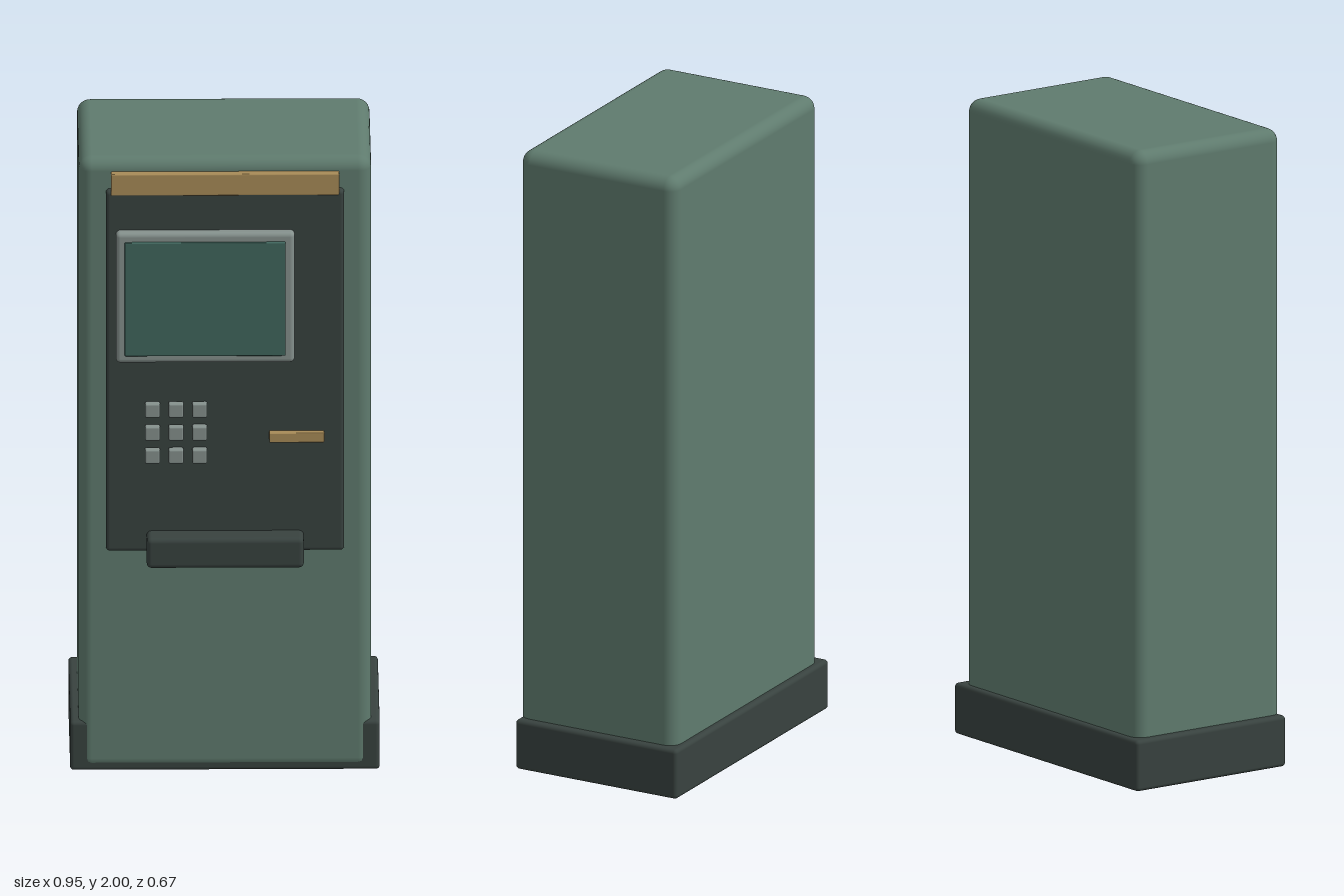
import * as THREE from 'three';
import { RoundedBoxGeometry } from 'three/addons/geometries/RoundedBoxGeometry.js';

const paint = (color) => new THREE.MeshStandardMaterial({ color });

export function createModel() {
  const model = new THREE.Group();
  const green = paint(0x5f7b6e);
  const dark = paint(0x38423f);
  const brass = paint(0xa88b57);
  const grey = paint(0x85918d);
  const glass = paint(0x40665d);

  // Rounded block given by its extents along x, y and z
  function block(name, [x0, x1], [y0, y1], [z0, z1], radius, material, parent = model) {
    const geometry = new RoundedBoxGeometry(x1 - x0, y1 - y0, z1 - z0, 4, radius);
    const mesh = new THREE.Mesh(geometry, material);
    mesh.position.set((x0 + x1) / 2, (y0 + y1) / 2, (z0 + z1) / 2);
    mesh.name = name;
    parent.add(mesh);
    return mesh;
  }

  // Cabinet standing in its plinth, its front just proud of the plinth
  block('cabinet', [-0.447, 0.447], [0.001, 2], [-0.314, 0.236], 0.04, green);
  block('plinth', [-0.473, 0.473], [0, 0.16], [-0.334, 0.233], 0.012, dark);

  // Front panel with header strip and cash tray
  block('frontPanel', [-0.364, 0.364], [0.727, 1.905], [0.21, 0.261], 0.012, dark);
  block('headerStrip', [-0.349, 0.349], [1.89, 1.96], [0.234, 0.263], 0.004, brass);
  block('cashTray', [-0.24, 0.24], [0.697, 0.795], [0.22, 0.335], 0.015, dark);

  // Display
  block('screenFrame', [-0.334, 0.212], [1.353, 1.778], [0.24, 0.292], 0.014, grey);
  block('screen', [-0.307, 0.185], [1.38, 1.75], [0.27, 0.302], 0.003, glass);

  // Card slot
  block('cardSlot', [0.135, 0.303], [1.09, 1.121], [0.255, 0.285], 0.003, brass);

  // Three by three keypad
  const keypad = new THREE.Group();
  keypad.name = 'keypad';
  model.add(keypad);
  const half = 0.0225;
  for (let row = 0; row < 3; row++) {
    for (let col = 0; col < 3; col++) {
      const x = -0.222 + col * 0.072;
      const y = 1.197 - row * 0.075;
      block('key', [x - half, x + half], [y - half, y + half], [0.262, 0.292], 0.005, grey, keypad);
    }
  }

  return model;
}
